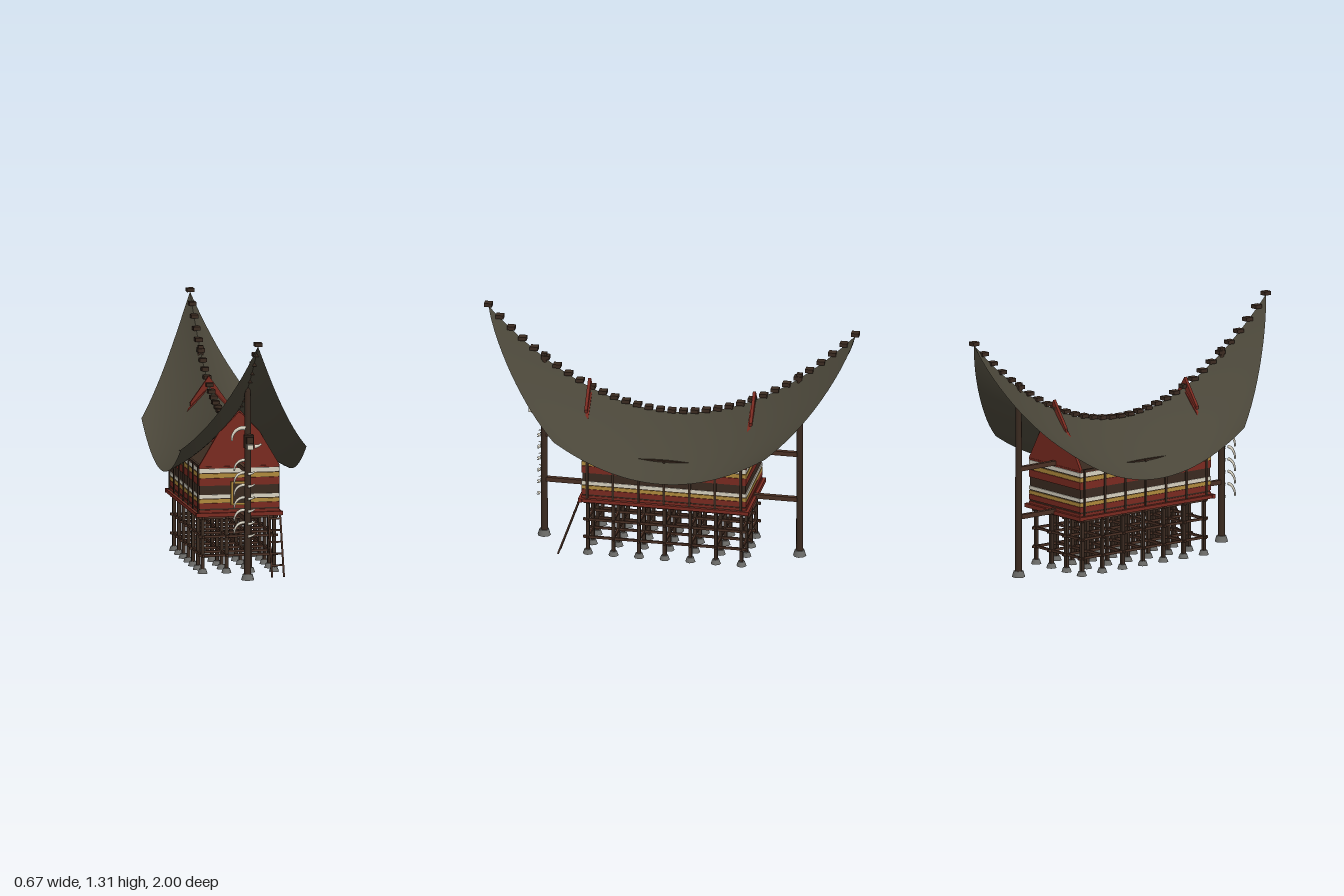
import * as THREE from 'three';

const mat = (name, color, side = THREE.FrontSide) => {
  const m = new THREE.MeshStandardMaterial({ color, side });
  m.name = name;
  return m;
};

export function createModel() {
  const house = new THREE.Group();
  house.name = 'stiltHouse';
  const thatch = mat('thatch', 0x4a4639, THREE.DoubleSide);
  const red = mat('red paint', 0x7a2a20);
  const dark = mat('dark wood', 0x3a2a20);
  const brown = mat('brown wood', 0x4a3024);
  const white = mat('bone white', 0xd8d2c2);
  const gold = mat('ochre', 0xb08a3c);
  const stone = mat('stone', 0x6b6b68);

  const group = (name, parent = house) => {
    const g = new THREE.Group();
    g.name = name;
    parent.add(g);
    return g;
  };
  const add = (parent, name, geo, material, x = 0, y = 0, z = 0) => {
    const m = new THREE.Mesh(geo, material);
    m.name = name;
    m.position.set(x, y, z);
    parent.add(m);
    return m;
  };
  const box = (parent, name, material, w, h, d, x, y, z) =>
    add(parent, name, new THREE.BoxGeometry(w, h, d), material, x, y, z);

  // Saddle roof: two curved slopes from the sweeping ridge to the eaves
  const ridgeEnd = 0.98;
  const ridgeY = u => 0.77 + 0.52 * u * u;
  const roof = group('roof');
  const slope = new THREE.PlaneGeometry(1, 2, 14, 48);
  const p = slope.attributes.position;
  for (let i = 0; i < p.count; i++) {
    const v = p.getX(i) + 0.5, u = p.getY(i);
    const drop = ridgeY(u) - (0.5 + 0.19 * u * u);
    const y = ridgeY(u) - drop * (v + 0.4 * v * (1 - v));
    p.setXYZ(i, 0.335 * v, y, -u * (ridgeEnd - 0.415 * Math.pow(v, 1.2)));
  }
  slope.computeVertexNormals();
  for (const s of [1, -1]) add(roof, 'roofSlope', slope, thatch).scale.x = s;

  // Ridge blocks
  for (let i = 0; i < 33; i++) {
    const u = -1 + i / 16;
    box(roof, 'ridgeBlock', dark, 0.038, 0.02, 0.042, 0, ridgeY(u) + 0.01, u * ridgeEnd);
  }

  // Crossed red boards riding over the ridge
  const fin = new THREE.Shape([
    [0, 0.925], [0.1, 0.785], [0.098, 0.765], [0, 0.865], [-0.098, 0.765], [-0.1, 0.785],
  ].map(([x, y]) => new THREE.Vector2(x, y)));
  const finGeo = new THREE.ExtrudeGeometry(fin, { depth: 0.016, bevelEnabled: false });
  for (const z of [0.44, -0.44]) add(roof, 'ridgeBoard', finGeo, red, 0, 0, z - 0.008);

  // Gable walls
  const gable = new THREE.Shape([
    [-0.215, 0.578], [0.215, 0.578], [0.11, 0.755], [0.03, 0.84], [0, 0.862], [-0.03, 0.84], [-0.11, 0.755],
  ].map(([x, y]) => new THREE.Vector2(x, y)));
  const gableGeo = new THREE.ExtrudeGeometry(gable, { depth: 0.016, bevelEnabled: false });
  for (const z of [0.424, -0.44]) add(house, 'gable', gableGeo, red, 0, 0, z);

  // Body with painted bands wrapped round it
  const body = group('body');
  box(body, 'wallCore', dark, 0.42, 0.245, 0.87, 0, 0.4555, 0);
  const bands = [
    [red, 0.333, 0.347], [red, 0.355, 0.383], [gold, 0.385, 0.404], [white, 0.409, 0.428],
    [red, 0.476, 0.515], [gold, 0.517, 0.539], [white, 0.544, 0.566], [red, 0.568, 0.577],
  ];
  for (const [m, a, b] of bands) box(body, 'wallBand', m, 0.427, b - a, 0.88, 0, (a + b) / 2, 0);

  const rows = [-0.41, -0.273, -0.137, 0, 0.137, 0.273, 0.41];
  const columns = [-0.19, -0.063, 0.063, 0.19];
  for (const s of [1, -1]) {
    for (const z of rows) box(body, 'wallStud', dark, 0.008, 0.245, 0.013, s * 0.2145, 0.4555, z);
    box(body, 'topPlate', dark, 0.014, 0.012, 0.87, s * 0.207, 0.576, 0);
  }

  // Door with ochre frame
  const door = group('door');
  box(door, 'doorPanel', dark, 0.076, 0.11, 0.012, 0, 0.435, 0.444);
  for (const s of [1, -1]) {
    box(door, 'doorJamb', gold, 0.01, 0.122, 0.02, s * 0.041, 0.435, 0.446);
    box(door, 'doorRail', gold, 0.092, 0.01, 0.02, 0, 0.435 + s * 0.057, 0.446);
  }

  // Floor platform
  const floor = group('floor');
  box(floor, 'deck', brown, 0.44, 0.02, 0.88, 0, 0.322, 0);
  for (const s of [1, -1]) {
    box(floor, 'endBoard', red, 0.462, 0.021, 0.02, 0, 0.323, s * 0.445);
    box(floor, 'sideBoard', red, 0.012, 0.018, 0.87, s * 0.223, 0.323, 0);
  }

  // Stilts, footings and tie beams
  const stilts = group('stilts');
  const footGeo = new THREE.CylinderGeometry(0.018, 0.027, 0.025, 8);
  for (const x of columns) {
    for (const z of rows) {
      box(stilts, 'stilt', dark, 0.018, 0.285, 0.018, x, 0.172, z);
      add(stilts, 'footing', footGeo, stone, x, 0.022, z);
    }
    for (const y of [0.103, 0.203, 0.303]) box(stilts, 'longTie', brown, 0.011, 0.013, 0.87, x, y, 0);
  }
  for (const z of rows)
    for (const y of [0.103, 0.203, 0.303]) box(stilts, 'crossTie', brown, 0.42, 0.013, 0.011, 0, y, z);

  // Great ridge posts with beams back to the house
  for (const s of [1, -1]) {
    const post = group(s > 0 ? 'frontPost' : 'backPost');
    add(post, 'postShaft', new THREE.CylinderGeometry(0.016, 0.019, 1.01, 10), dark, 0, 0.535, s * 0.682);
    add(post, 'postFooting', new THREE.CylinderGeometry(0.026, 0.035, 0.032, 8), stone, 0, 0.026, s * 0.682);
    box(post, 'postHead', dark, 0.026, 0.04, 0.03, 0, 1.03, s * 0.682);
    for (const y of [0.33, 0.587]) box(post, 'postBeam', brown, 0.024, 0.024, 0.25, 0, y, s * 0.56);
  }

  // Ladder leaning on the front edge
  const ladder = group('ladder');
  const foot = new THREE.Vector2(0.565, 0.003), top = new THREE.Vector2(0.452, 0.318);
  const lean = Math.atan2(top.x - foot.x, top.y - foot.y);
  const mid = foot.clone().lerp(top, 0.5);
  for (const x of [0.152, 0.215])
    box(ladder, 'ladderRail', brown, 0.009, foot.distanceTo(top), 0.009, x, mid.y, mid.x).rotation.x = lean;
  for (let i = 1; i <= 5; i++) {
    const r = foot.clone().lerp(top, i * 0.187);
    box(ladder, 'ladderRung', brown, 0.063, 0.009, 0.009, 0.1835, r.y, r.x);
  }

  // Horns: tapered arcs stacked on the front post
  const horns = group('horns');
  const horn = (cx, cy, z, r, tube, from, to) => {
    const geo = new THREE.TorusGeometry(r, tube, 8, 14, to - from);
    const q = geo.attributes.position;
    for (let i = 0; i < q.count; i++) {
      const a = Math.atan2(q.getY(i), q.getX(i));
      const k = 1 - 0.55 * Math.max(0, a) / (to - from);
      const ax = r * Math.cos(a), ay = r * Math.sin(a);
      q.setXYZ(i, ax + (q.getX(i) - ax) * k, ay + (q.getY(i) - ay) * k, q.getZ(i) * k);
    }
    geo.computeVertexNormals();
    add(horns, 'horn', geo, white, cx, cy, z).rotation.z = from;
  };
  for (let i = 0; i < 6; i++) {
    const y = 0.655 - i * 0.066;
    horn(-0.026, y - 0.056, 0.712, 0.05, 0.009, 1.5, 3.25);
    horn(0.0, y - 0.03, 0.712, 0.05, 0.009, 4.6, 5.4);
  }

  // Carved buffalo head on the front post
  const head = group('buffaloHead');
  box(head, 'skull', dark, 0.05, 0.07, 0.04, 0, 0.748, 0.715);
  box(head, 'brow', dark, 0.036, 0.035, 0.03, 0, 0.757, 0.745);
  box(head, 'muzzle', white, 0.03, 0.026, 0.034, 0, 0.722, 0.747);
  horn(-0.035, 0.765, 0.735, 0.058, 0.012, 1.35, 3.3);
  horn(0.025, 0.78, 0.735, 0.058, 0.011, 4.7, 5.45);

  return house;
}
